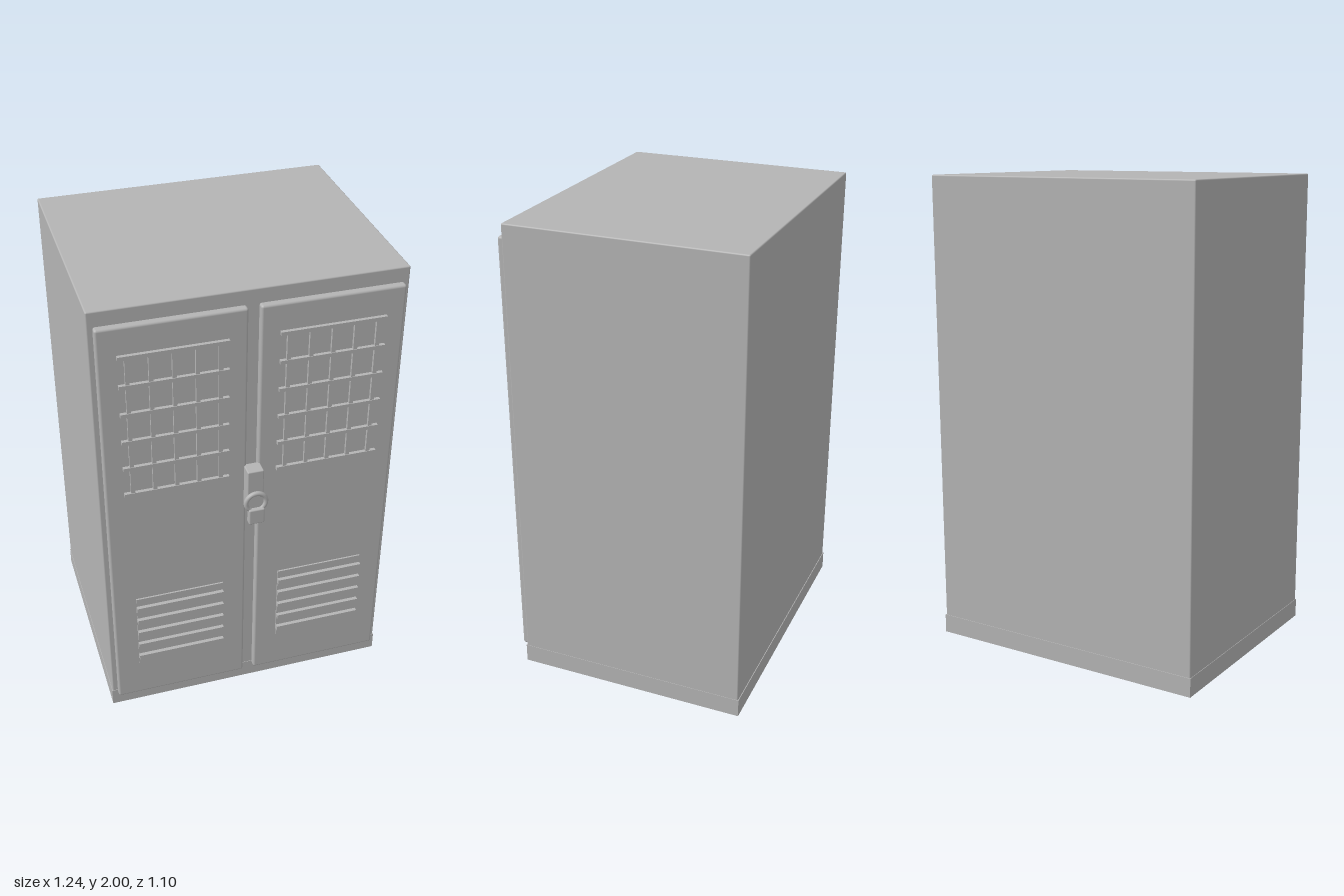
import * as THREE from 'three';
import { RoundedBoxGeometry } from 'three/addons/geometries/RoundedBoxGeometry.js';

export function createModel() {
  const model = new THREE.Group();
  model.name = 'locker';
  const steel = new THREE.MeshStandardMaterial({ color: 0xb4b4b4 });
  steel.name = 'grey steel';

  // Box given by its limits on each axis, optionally with rounded edges
  function box(parent, name, [x0, x1], [y0, y1], [z0, z1], radius = 0) {
    const size = [x1 - x0, y1 - y0, z1 - z0];
    const geometry = radius
      ? new RoundedBoxGeometry(...size, 2, radius)
      : new THREE.BoxGeometry(...size);
    const mesh = new THREE.Mesh(geometry, steel);
    mesh.name = name;
    mesh.position.set((x0 + x1) / 2, (y0 + y1) / 2, (z0 + z1) / 2);
    parent.add(mesh);
    return mesh;
  }

  // Cabinet and plinth
  box(model, 'cabinet', [-0.62, 0.62], [0.01, 2], [-0.547, 0.443], 0.006);
  box(model, 'plinth', [-0.622, 0.622], [0, 0.08], [-0.55, 0.445]);

  // Doors, each with a grille above and louvres below
  function makeDoor(name, centre) {
    const door = new THREE.Group();
    door.name = name;
    door.position.x = centre;
    box(door, 'doorPanel', [-0.287, 0.287], [0.07, 1.94], [0.44, 0.475], 0.01);

    for (let i = 0; i < 6; i++) {
      const y = 1.193 + i * 0.125;
      box(door, 'grilleCrossbar', [-0.212, 0.212], [y - 0.008, y + 0.008], [0.47, 0.49]);
    }
    for (let i = 0; i < 5; i++) {
      const x = -0.178 + i * 0.089;
      box(door, 'grilleUpright', [x - 0.008, x + 0.008], [1.19, 1.82], [0.47, 0.487]);
    }

    box(door, 'louvrePanel', [-0.188, 0.188], [0.255, 0.63], [0.47, 0.482]);
    for (let i = 0; i < 5; i++) {
      const y = 0.305 + i * 0.069;
      box(door, 'louvre', [-0.188, 0.188], [y - 0.011, y + 0.011], [0.475, 0.498]);
    }
    model.add(door);
  }
  makeDoor('leftDoor', 0.311);
  makeDoor('rightDoor', -0.311);

  // Latch with a round lock and a turning tab
  const latch = new THREE.Group();
  latch.name = 'latch';
  box(latch, 'latchCase', [-0.034, 0.034], [1.03, 1.227], [0.463, 0.525], 0.005);
  const ring = new THREE.Mesh(new THREE.TorusGeometry(0.042, 0.01, 10, 32), steel);
  ring.name = 'lockRing';
  ring.position.set(0, 1.08, 0.532);
  latch.add(ring);
  const core = new THREE.Mesh(new THREE.CylinderGeometry(0.036, 0.036, 0.015, 32), steel);
  core.name = 'lockCore';
  core.rotation.x = Math.PI / 2;
  core.position.set(0, 1.08, 0.525);
  latch.add(core);
  box(latch, 'lockTab', [-0.033, 0.033], [0.98, 1.052], [0.518, 0.55], 0.006);
  model.add(latch);

  return model;
}
